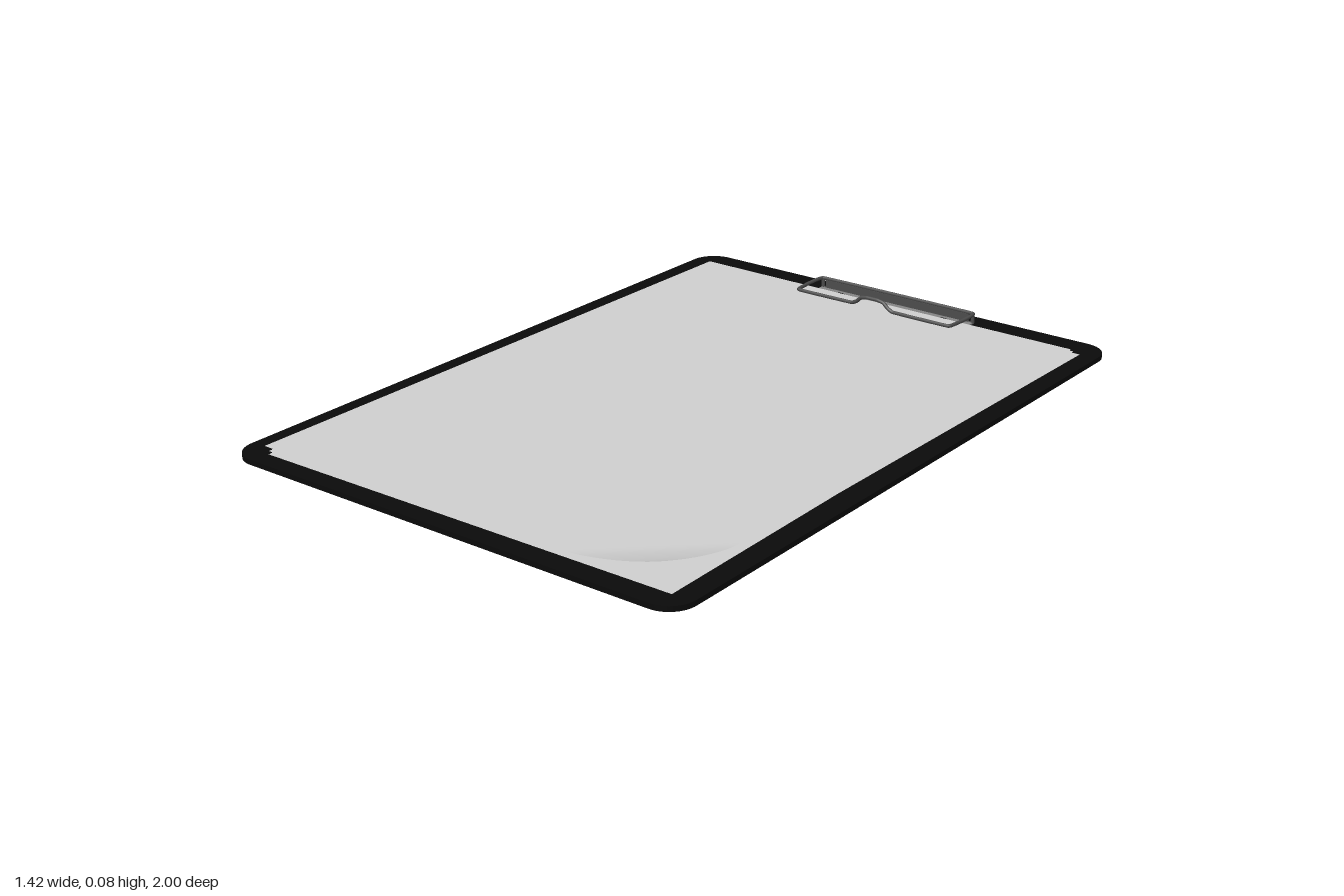
import * as THREE from 'three';

const mat = (name, color, side = THREE.FrontSide) => {
  const m = new THREE.MeshStandardMaterial({ color, side });
  m.name = name;
  return m;
};

export function createModel() {
  const group = new THREE.Group();
  const black = mat('black board', 0x0a0a0a);
  const paper = mat('white paper', 0xd0d0d0, THREE.DoubleSide);
  const steel = mat('steel', 0x858585);
  const darkSteel = mat('dark steel', 0x4c4c4c);

  const add = (name, geometry, material, x = 0, y = 0, z = 0) => {
    const mesh = new THREE.Mesh(geometry, material);
    mesh.name = name;
    mesh.position.set(x, y, z);
    group.add(mesh);
    return mesh;
  };

  // Board: rounded rectangle lying flat
  const w = 0.71, d = 1, r = 0.075;
  const outline = new THREE.Shape();
  outline.absarc(w - r, d - r, r, 0, Math.PI / 2);
  outline.absarc(-w + r, d - r, r, Math.PI / 2, Math.PI);
  outline.absarc(-w + r, -d + r, r, Math.PI, Math.PI * 1.5);
  outline.absarc(w - r, -d + r, r, Math.PI * 1.5, Math.PI * 2);
  const boardGeo = new THREE.ExtrudeGeometry(outline, { depth: 0.014, bevelEnabled: false, curveSegments: 8 });
  boardGeo.rotateX(-Math.PI / 2);
  add('board', boardGeo, black);

  // Loose lower sheets, each turned a little: x, y, z, turn
  [
    [0.012, 0.019, 0.03, 0.01],
    [0.022, 0.0225, 0.022, -0.012],
    [0.015, 0.026, 0.03, 0.004],
    [-0.002, 0.0295, 0.026, -0.006],
  ].forEach(([x, y, z, turn], i) => {
    const geo = new THREE.PlaneGeometry(1.27, 1.84).rotateX(-Math.PI / 2);
    add('lowerSheet' + (i + 1), geo, paper, x, y, z).rotation.y = turn;
  });

  // Top sheet with its front left corner curling up
  const x1 = 0.642, z1 = 0.945;
  const topGeo = new THREE.PlaneGeometry(1.262, 1.83, 48, 64).rotateX(-Math.PI / 2);
  topGeo.translate(x1 - 0.631, 0.0335, z1 - 0.915);
  const p = topGeo.attributes.position;
  for (let i = 0; i < p.count; i++) {
    const x = p.getX(i), z = p.getZ(i);
    const t = Math.max(0, 1 - (x1 - x) / 0.28 - (z1 - z) / 0.26);
    p.setXYZ(i, x - 0.042 * t * t, p.getY(i) + 0.042 * Math.pow(t, 1.25), z - 0.015 * t * t);
  }
  topGeo.computeVertexNormals();
  add('topSheet', topGeo, paper);

  // Clip: base plate below the sheets, with rivets and a back hinge
  const cx = 0.0275;
  add('clipBase', new THREE.BoxGeometry(0.53, 0.004, 0.135), steel, cx, 0.016, -0.879);
  add('clipHinge', new THREE.BoxGeometry(0.5, 0.026, 0.006), darkSteel, cx, 0.029, -0.943);
  for (const side of [-1, 1]) {
    add('rivet', new THREE.CylinderGeometry(0.024, 0.024, 0.003, 20), black, cx + side * 0.18, 0.019, -0.897);
  }

  // Clip wire: a rectangular loop whose front side has a raised thumb grip
  const L = cx - 0.262, R = cx + 0.262, B = -0.945, F = -0.812, y = 0.045;
  const points = [
    [L, y, B], [R, y, B], [R, y, F],
    [0.1, y, F], [0.082, 0.053, F], [0.066, 0.067, F], [0.045, 0.071, F],
    [0.01, 0.071, F], [-0.011, 0.067, F], [-0.026, 0.053, F], [-0.045, y, F],
    [L, y, F],
  ].map((q) => new THREE.Vector3(...q));
  const wire = new THREE.CatmullRomCurve3(points, true, 'catmullrom', 0.08);
  add('clipWire', new THREE.TubeGeometry(wire, 240, 0.0055, 8, true), darkSteel);

  // Short corner posts joining the wire to the hinge
  for (const x of [L, R]) {
    add('clipPost', new THREE.CylinderGeometry(0.0055, 0.0055, 0.031, 8), darkSteel, x, 0.0295, B);
  }
  return group;
}
